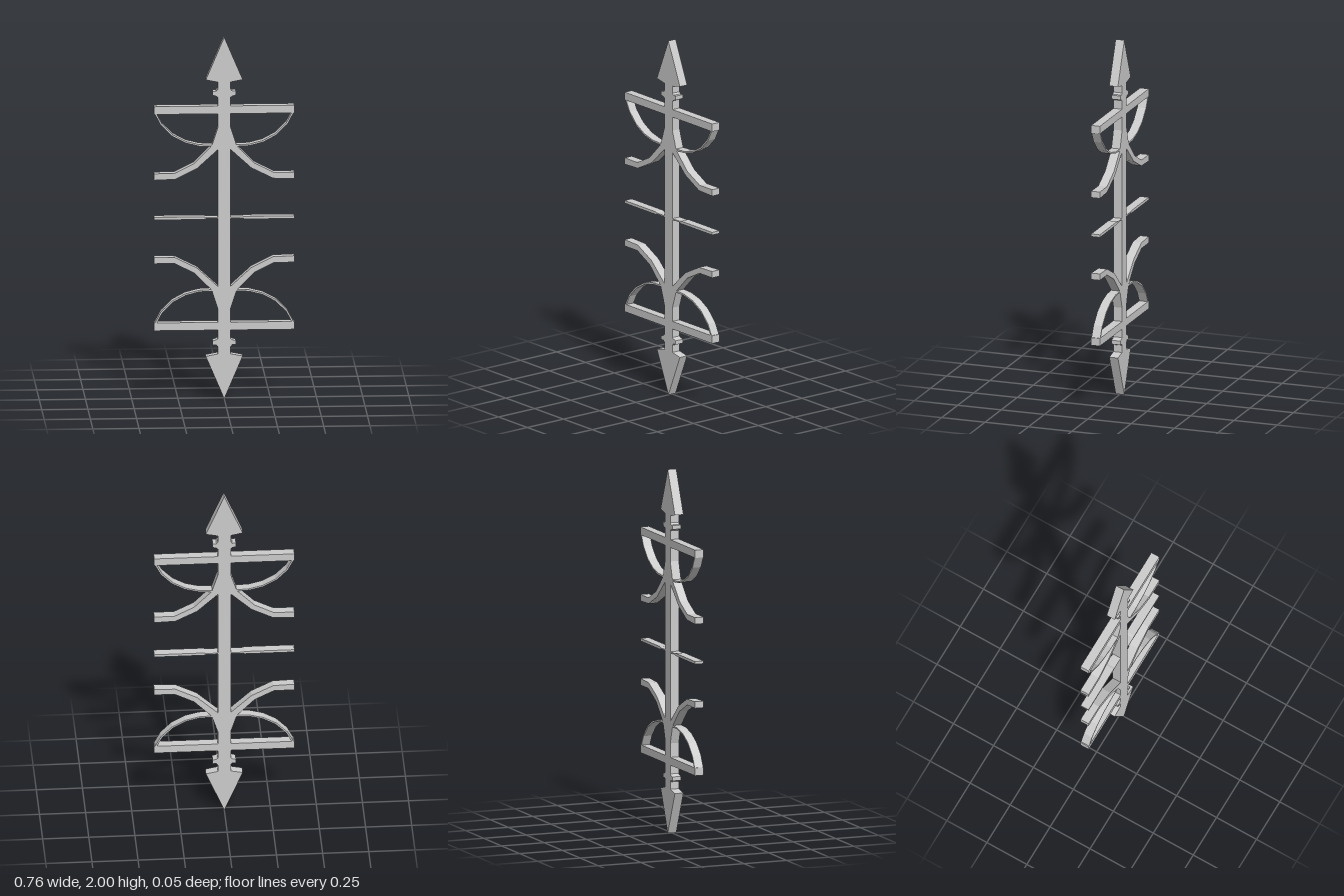
import * as THREE from 'three';

const DEPTH = 0.05;
const HALF = 0.035; // half the shaft width
const material = new THREE.MeshStandardMaterial({ color: 0xcccccc, flatShading: true });

// Flat plate from an outline, mirrored by sx / sy about the model's centre (0, 1)
function plate(name, points, sx = 1, sy = 1) {
  const shape = new THREE.Shape(points.map(([x, y]) => new THREE.Vector2(x * sx, 1 + (y - 1) * sy)));
  const geometry = new THREE.ExtrudeGeometry(shape, { depth: DEPTH, bevelEnabled: false });
  geometry.translate(0, 0, -DEPTH / 2);
  const mesh = new THREE.Mesh(geometry, material);
  mesh.name = name;
  return mesh;
}

// Outline of a rectangle
const rect = (x0, y0, x1, y1) => [[x0, y0], [x1, y0], [x1, y1], [x0, y1]];

// Outline of a thin strip following a path
function strip(path, width) {
  const pts = path.map(([x, y]) => new THREE.Vector2(x, y));
  const sides = [1, -1].map((s) => pts.map((p, i) => {
    const t = pts[Math.min(i + 1, pts.length - 1)].clone().sub(pts[Math.max(i - 1, 0)]).normalize();
    return [p.x - t.y * s * width / 2, p.y + t.x * s * width / 2];
  }));
  return [...sides[0], ...sides[1].reverse()];
}

const arrowhead = [[0, 2], [0.1, 1.765], [HALF, 1.752], [-HALF, 1.752], [-0.1, 1.765]];
const collar = [[HALF, 1.712], [0.043, 1.702], [0.063, 1.702], [0.063, 1.68], [0.043, 1.674], [HALF, 1.668]];
const arm = [[HALF, 1.5], [0.068, 1.398], [0.164, 1.302], [0.27, 1.249], [0.38, 1.249],
  [0.38, 1.213], [0.265, 1.217], [0.148, 1.275], [HALF, 1.378]];
const bow = strip([[0.374, 1.585], [0.34, 1.52], [0.28, 1.46], [0.21, 1.422], [0.135, 1.403], [0.066, 1.4]], 0.009);
const bar = rect(HALF, 1.577, 0.38, 1.62);
const crossbar = [[HALF, 0.997], [0.1, 0.997], [0.11, 0.993], [0.38, 0.993],
  [0.38, 1.008], [0.11, 1.008], [0.1, 1.004], [HALF, 1.004]];

export function createModel() {
  const model = new THREE.Group();
  model.name = 'doubleArrow';

  model.add(plate('shaft', rect(-HALF, 0.248, HALF, 1.752)));

  // Top and bottom ends, each with left and right halves
  for (const [end, sy] of [['upper', 1], ['lower', -1]]) {
    model.add(plate(end + 'Arrowhead', arrowhead, 1, sy));
    for (const [side, sx] of [['Left', 1], ['Right', -1]]) {
      model.add(
        plate(end + side + 'Collar', collar, sx, sy),
        plate(end + side + 'Bar', bar, sx, sy),
        plate(end + side + 'Bow', bow, sx, sy),
        plate(end + side + 'Arm', arm, sx, sy),
      );
    }
  }

  // Thin middle crossbar
  model.add(plate('leftCrossbar', crossbar, 1), plate('rightCrossbar', crossbar, -1));
  return model;
}
